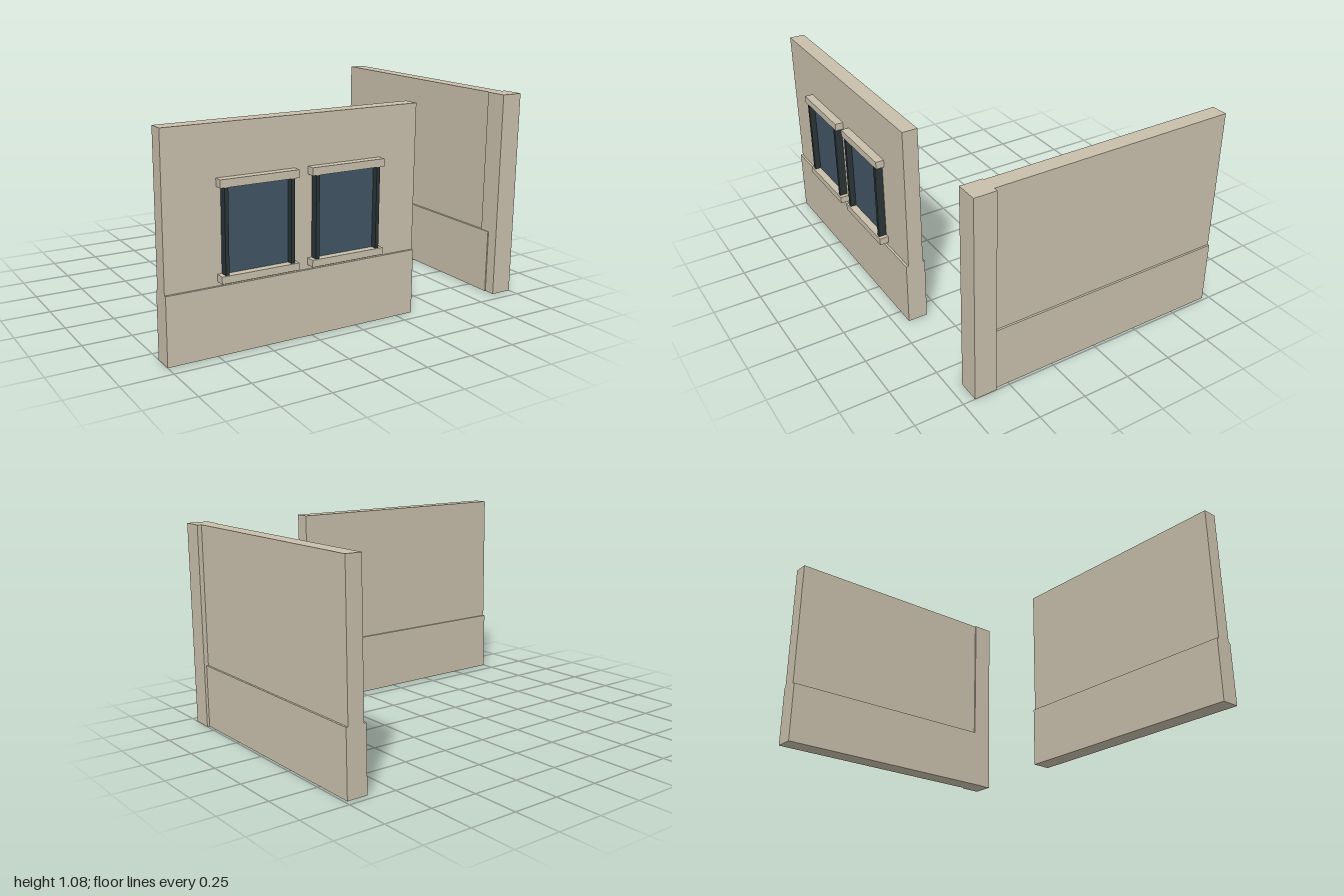
import * as THREE from 'three';

const plaster = new THREE.MeshStandardMaterial({ color: 0xc8bfab });
plaster.name = 'plaster';
const glass = new THREE.MeshStandardMaterial({ color: 0x415464 });
glass.name = 'glass';
const darkFrame = new THREE.MeshStandardMaterial({ color: 0x2a3437 });
darkFrame.name = 'darkFrame';

// Box given by its extents on each axis
function block(name, material, [x0, x1], [y0, y1], [z0, z1]) {
  const mesh = new THREE.Mesh(new THREE.BoxGeometry(x1 - x0, y1 - y0, z1 - z0), material);
  mesh.name = name;
  mesh.position.set((x0 + x1) / 2, (y0 + y1) / 2, (z0 + z1) / 2);
  return mesh;
}

// Glass between dark jambs, with a lintel above and a sill below
function createWindow(x, wallZ) {
  const g = new THREE.Group();
  g.name = 'window';
  g.position.x = x;
  g.add(block('windowPane', glass, [-0.161, 0.161], [0.39, 0.795], [wallZ, wallZ + 0.009]));
  for (const s of [-1, 1]) {
    const edges = [s * 0.16, s * 0.178].sort((a, b) => a - b);
    g.add(block('windowJamb', darkFrame, edges, [0.39, 0.795], [wallZ - 0.01, 0.708]));
  }
  g.add(block('windowLintel', plaster, [-0.2, 0.2], [0.794, 0.832], [wallZ - 0.01, 0.711]));
  g.add(block('windowSill', plaster, [-0.2, 0.2], [0.355, 0.39], [wallZ - 0.01, 0.715]));
  return g;
}

export function createModel() {
  const model = new THREE.Group();
  model.name = 'wallSections';
  const top = 1.077, plinth = 0.335, wallZ = 0.668;

  // Front wall on its thicker plinth
  const front = new THREE.Group();
  front.name = 'frontWall';
  front.add(
    block('frontUpperWall', plaster, [-1, 0.342], [plinth, top], [0.588, wallZ]),
    block('frontPlinth', plaster, [-1, 0.342], [0, plinth], [0.577, 0.68])
  );
  for (const x of [-0.542, -0.071]) front.add(createWindow(x, wallZ));

  // Side wall ending in a full-height corner pillar
  const side = new THREE.Group();
  side.name = 'sideWall';
  side.add(
    block('sideUpperWall', plaster, [0.893, 0.977], [plinth, top], [-0.715, 0.6]),
    block('sidePlinth', plaster, [0.88, 0.987], [0, plinth], [-0.715, 0.63]),
    block('cornerPillar', plaster, [0.885, 1], [0, top], [0.573, 0.688])
  );

  model.add(front, side);
  return model;
}
